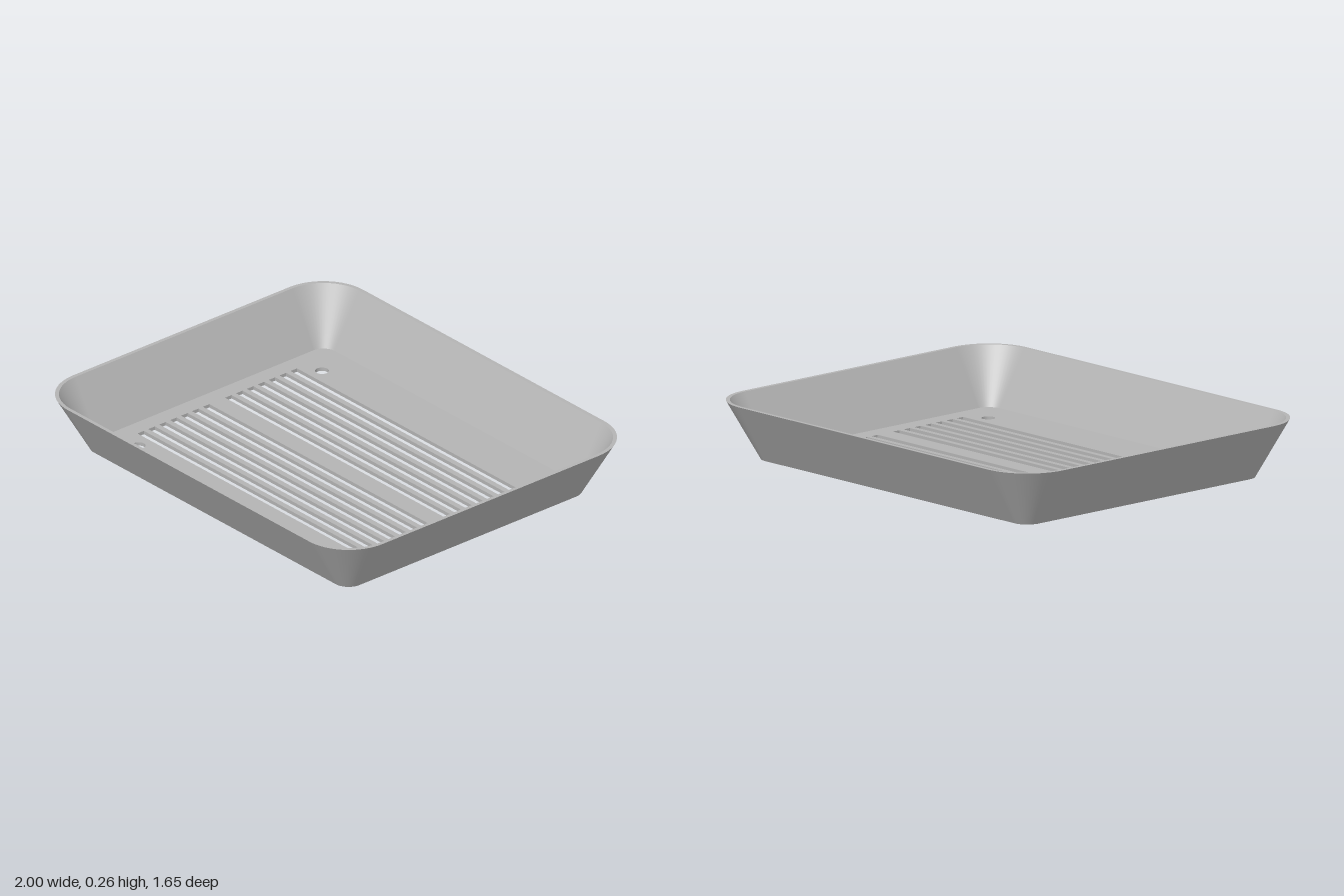
import * as THREE from 'three';
import { mergeGeometries } from 'three/addons/utils/BufferGeometryUtils.js';

const HEIGHT = 0.256, FLOOR = 0.016;
const CORNER_X = 0.78, CORNER_Z = 0.605; // centres shared by all corner arcs
const R_BASE = 0.072, R_RIM = 0.22, R_RIM_IN = 0.203, R_FLOOR = 0.064;
const ARC_STEPS = 16;

// Rounded rectangle of corner radius r, as [x, z] points
function outline(r) {
  const points = [];
  for (let q = 0; q < 4; q++) {
    const sx = q === 0 || q === 3 ? 1 : -1, sz = q < 2 ? 1 : -1;
    for (let i = 0; i <= ARC_STEPS; i++) {
      const a = (q + i / ARC_STEPS) * Math.PI / 2;
      points.push([sx * CORNER_X + r * Math.cos(a), sz * CORNER_Z + r * Math.sin(a)]);
    }
  }
  return points;
}

// Smooth closed band between two outlines
function band([r0, y0], [r1, y1]) {
  const low = outline(r0), high = outline(r1), n = low.length;
  const positions = [], index = [];
  low.forEach(([x, z]) => positions.push(x, y0, z));
  high.forEach(([x, z]) => positions.push(x, y1, z));
  for (let i = 0; i < n; i++) {
    const j = (i + 1) % n;
    index.push(i, n + i, j, j, n + i, n + j);
  }
  const geometry = new THREE.BufferGeometry();
  geometry.setAttribute('position', new THREE.Float32BufferAttribute(positions, 3));
  geometry.setIndex(index);
  geometry.computeVertexNormals();
  return geometry;
}

// Floor plate with drain slots and four screw holes
function floorGeometry() {
  const shape = new THREE.Shape(outline(R_FLOOR).map(([x, z]) => new THREE.Vector2(x, z)));
  const w = 0.767, h = 0.018;
  for (const side of [-1, 1]) {
    for (let i = 0; i < 7; i++) {
      const z = side * (0.062 + i * 0.061);
      shape.holes.push(new THREE.Path([[-w, -h], [-w, h], [w, h], [w, -h]]
        .map(([x, dz]) => new THREE.Vector2(x, z + dz))));
    }
    for (const sx of [-1, 1]) {
      shape.holes.push(new THREE.Path().absarc(sx * 0.682, side * 0.512, 0.029, 0, Math.PI * 2, true));
    }
  }
  return new THREE.ExtrudeGeometry(shape, { depth: FLOOR, bevelEnabled: false, curveSegments: 24 })
    .rotateX(-Math.PI / 2);
}

export function createModel() {
  const grey = new THREE.MeshStandardMaterial({ color: 0xb3b3b3 });
  grey.name = 'grey';
  const tray = new THREE.Group();
  tray.name = 'tray';

  // Wall section: under edge, outer slope, rim, inner slope
  const profile = [[R_FLOOR, 0], [R_BASE, 0], [R_RIM, HEIGHT], [R_RIM_IN, HEIGHT], [R_FLOOR, FLOOR]];
  const bands = profile.slice(1).map((p, i) => band(profile[i], p));
  const walls = new THREE.Mesh(mergeGeometries(bands), grey);
  walls.name = 'slopedWalls';

  const floor = new THREE.Mesh(floorGeometry(), grey);
  floor.name = 'slottedFloor';

  tray.add(walls, floor);
  return tray;
}
